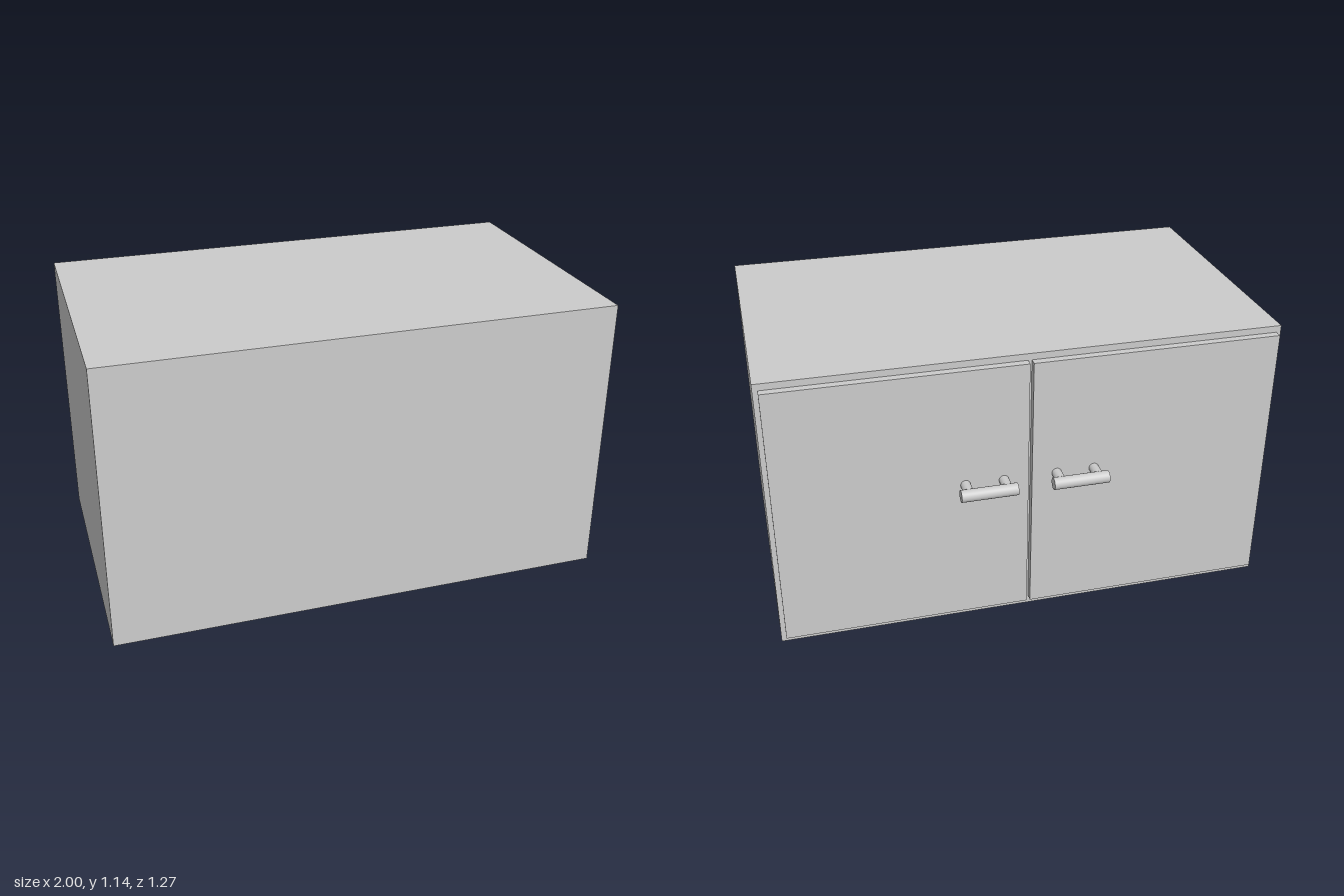
import * as THREE from 'three';

export function createModel() {
  const model = new THREE.Group();
  const material = new THREE.MeshStandardMaterial({ color: 0xcccccc });

  const add = (parent, name, geometry, x, y, z) => {
    const mesh = new THREE.Mesh(geometry, material);
    mesh.name = name;
    mesh.position.set(x, y, z);
    parent.add(mesh);
    return mesh;
  };

  // Cabinet body
  const height = 1.143, frontZ = 0.637, backZ = -0.505;
  add(model, 'cabinetBody', new THREE.BoxGeometry(2, height, frontZ - backZ),
    0, height / 2, (frontZ + backZ) / 2);

  // Two doors on the -z side, each with a bar handle on two posts
  const handleY = 0.637, doorFace = -0.539, barZ = -0.613;
  for (const side of [-1, 1]) {
    const door = new THREE.Group();
    door.name = side > 0 ? 'leftDoor' : 'rightDoor';
    add(door, 'doorPanel', new THREE.BoxGeometry(0.974, 1.08, 0.031),
      side * 0.494, 0.578, doorFace + 0.0155);

    const handle = new THREE.Group();
    handle.name = 'handle';
    add(handle, 'handleBar', new THREE.CylinderGeometry(0.024, 0.024, 0.22, 32),
      side * 0.18, handleY, barZ).rotation.z = Math.PI / 2;
    for (const x of [0.105, 0.255]) {
      add(handle, 'handlePost', new THREE.CylinderGeometry(0.0195, 0.0195, doorFace - barZ, 32),
        side * x, handleY, (doorFace + barZ) / 2).rotation.x = Math.PI / 2;
    }
    door.add(handle);
    model.add(door);
  }
  return model;
}
